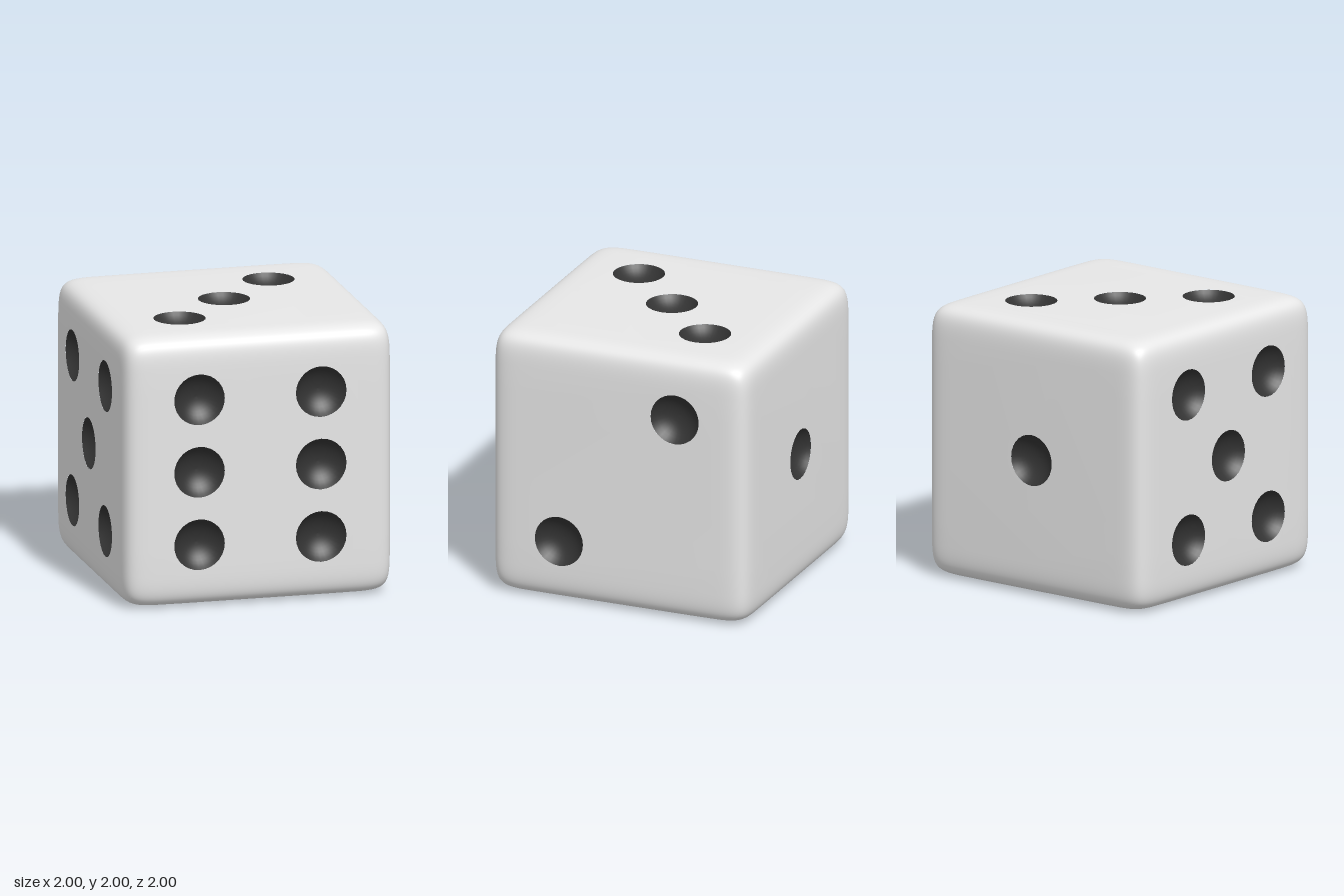
import * as THREE from 'three';
import { mergeGeometries } from 'three/addons/utils/BufferGeometryUtils.js';

const POWER = 15;      // squareness of the softened cube
const INNER = 0.76;    // half size of the nearly flat area holding the pips
const PIP_R = 0.187, PIP_DEPTH = 0.1, PIP_SIDES = 28;

// grid lines across a face, dense near the rounded edges
const lines = [];
const EDGE = 10, MID = 8;
for (let i = 0; i < EDGE; i++) lines.push(-1 + (1 - INNER) * i / EDGE);
for (let i = 0; i <= MID; i++) lines.push(-INNER + 2 * INNER * i / MID);
for (let i = 1; i <= EDGE; i++) lines.push(INNER + (1 - INNER) * i / EDGE);

// pull flat face points onto the softened cube, with exact smooth normals
function soften(geometry) {
  const pos = geometry.attributes.position;
  const normals = new Float32Array(pos.count * 3);
  const v = new THREE.Vector3(), n = new THREE.Vector3();
  const bend = (t) => Math.sign(t) * Math.abs(t) ** (POWER - 1);
  for (let i = 0; i < pos.count; i++) {
    v.set(pos.getX(i), pos.getY(i), 1);
    const size = (Math.abs(v.x) ** POWER + Math.abs(v.y) ** POWER + 1) ** (1 / POWER);
    n.set(bend(v.x), bend(v.y), 1).normalize().toArray(normals, i * 3);
    v.divideScalar(size);
    pos.setXYZ(i, v.x, v.y, v.z);
  }
  geometry.setAttribute('normal', new THREE.BufferAttribute(normals, 3));
  geometry.deleteAttribute('uv');
  return geometry;
}

// rounded frame around the inner area
function borderGeometry() {
  const n = lines.length, position = [], index = [];
  for (const y of lines) for (const x of lines) position.push(x, y, 1);
  const inMiddle = (i) => i >= EDGE && i < EDGE + MID;
  for (let j = 0; j < n - 1; j++) {
    for (let i = 0; i < n - 1; i++) {
      if (inMiddle(i) && inMiddle(j)) continue;
      const a = j * n + i, b = a + 1, c = a + n, d = c + 1;
      index.push(a, b, d, a, d, c);
    }
  }
  const geometry = new THREE.BufferGeometry();
  geometry.setAttribute('position', new THREE.Float32BufferAttribute(position, 3));
  geometry.setIndex(index);
  return soften(geometry);
}

// inner area with a round hole for every pip
function panelGeometry(pips) {
  const outline = [];
  const corners = [[-1, -1], [1, -1], [1, 1], [-1, 1]];
  corners.forEach(([x, y], k) => {
    const [nx, ny] = corners[(k + 1) % 4];
    for (let i = 0; i < MID; i++) {
      const t = i / MID;
      outline.push(new THREE.Vector2((x + (nx - x) * t) * INNER, (y + (ny - y) * t) * INNER));
    }
  });
  const shape = new THREE.Shape(outline);
  for (const [x, y] of pips) {
    const hole = new THREE.Path();
    hole.absarc(x, y, PIP_R, 0, Math.PI * 2, true);
    shape.holes.push(hole);
  }
  return soften(new THREE.ShapeGeometry(shape, PIP_SIDES / 2));
}

// hollow bowl, profile runs from the rim down to the centre
function pipGeometry() {
  const profile = [];
  const R = (PIP_R ** 2 + PIP_DEPTH ** 2) / (2 * PIP_DEPTH);
  const maxAngle = Math.asin(PIP_R / R);
  for (let i = 0; i <= 8; i++) {
    const a = maxAngle * (1 - i / 8);
    profile.push(new THREE.Vector2(R * Math.sin(a), R - PIP_DEPTH - R * Math.cos(a)));
  }
  return new THREE.LatheGeometry(profile, PIP_SIDES).rotateX(Math.PI / 2);
}

export function createModel() {
  const ivory = new THREE.MeshStandardMaterial({ color: 0xe7e7e7 });
  ivory.name = 'bodyWhite';
  const black = new THREE.MeshStandardMaterial({ color: 0x333333 });
  black.name = 'pipBlack';

  const H = Math.PI / 2, U = 0.45, V = 0.535;
  const pair = [[-U, -V], [U, V]];
  const four = [[-U, -V], [U, -V], [-U, V], [U, V]];
  const faces = [
    { name: 'frontFace', turn: [0, 0], pips: [...four, [-U, 0], [U, 0]] },
    { name: 'backFace', turn: [0, Math.PI], pips: [[0, 0]] },
    { name: 'leftFace', turn: [0, H], pips: pair },
    { name: 'rightFace', turn: [0, -H], pips: [...four, [0, 0]] },
    { name: 'topFace', turn: [-H, 0], pips: [[-U, -U], [0, 0], [U, U]] },
    { name: 'bottomFace', turn: [H, 0], pips: [[-0.43, -0.43], [0.43, -0.43], [-0.43, 0.43], [0.43, 0.43]] },
  ];

  const model = new THREE.Group();
  model.name = 'die';
  const border = borderGeometry(), bowl = pipGeometry();
  for (const { name, turn, pips } of faces) {
    const face = new THREE.Group();
    face.name = name;
    face.rotation.set(turn[0], turn[1], 0);
    face.position.y = 1;

    const panel = new THREE.Mesh(mergeGeometries([border, panelGeometry(pips)]), ivory);
    panel.name = 'bodyPanel';
    face.add(panel);

    for (const [x, y] of pips) {
      const pip = new THREE.Mesh(bowl, black);
      pip.name = 'pip';
      pip.position.set(x, y, 0.9995);
      face.add(pip);
    }
    model.add(face);
  }
  return model;
}
